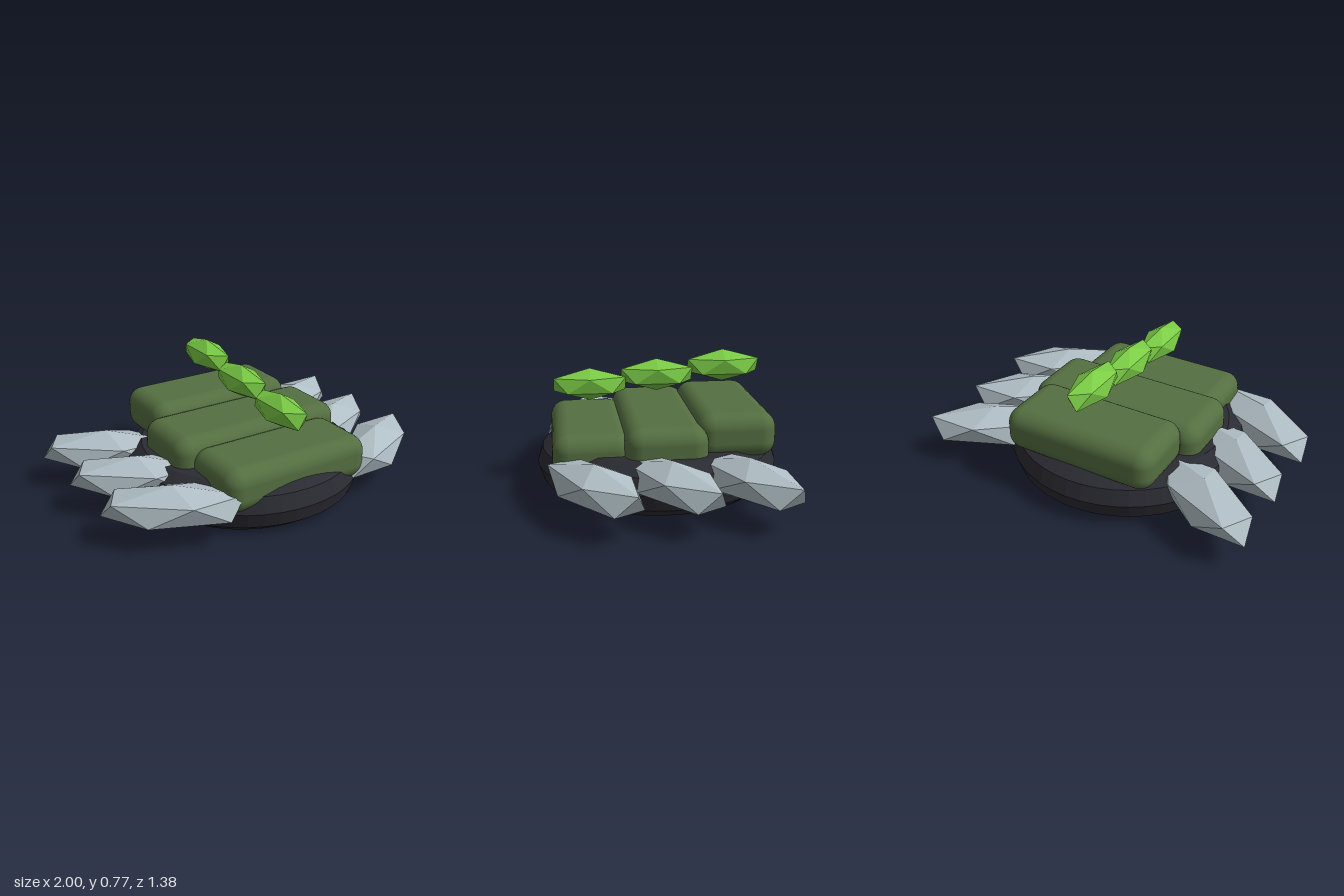
import * as THREE from 'three';
import { RoundedBoxGeometry } from 'three/addons/geometries/RoundedBoxGeometry.js';

const mat = (name, color, flatShading = false) => {
  const m = new THREE.MeshStandardMaterial({ color, flatShading });
  m.name = name;
  return m;
};

export function createModel() {
  const group = new THREE.Group();
  const rubber = mat('dark rubber', 0x2b2b33, true);
  const olive = mat('olive green', 0x556f41);
  const steel = mat('pale steel', 0xb0bec5, true);
  const lime = mat('bright green', 0x7acb45, true);

  const add = (name, geometry, material, x, y, z) => {
    const mesh = new THREE.Mesh(geometry, material);
    mesh.name = name;
    mesh.position.set(x, y, z);
    group.add(mesh);
    return mesh;
  };

  // Ring base lying flat
  const ring = new THREE.TorusGeometry(0.537, 0.153, 10, 48).rotateX(-Math.PI / 2);
  add('baseRing', ring, rubber, 0, 0.145, 0);

  // Faceted crystal: icosahedron standing on a corner, then stretched
  const crystal = (sx, sy, sz) => new THREE.IcosahedronGeometry(1, 0)
    .rotateZ(-Math.atan(2 / (1 + Math.sqrt(5))))
    .scale(sx, sy, sz);
  const spikeShape = crystal(0.418, 0.12, 0.173);
  const crestShape = crystal(0.1, 0.0925, 0.241);

  // Three body segments, front to back, each a step higher
  const names = ['front', 'middle', 'back'];
  names.forEach((name, i) => {
    const k = 1 - i;
    const width = k === 0 ? 1.07 : 0.91;
    const body = new RoundedBoxGeometry(width, 0.25, k === 0 ? 0.45 : 0.435, 4, 0.09);
    add(name + 'Segment', body, olive, 0, 0.322 - 0.048 * k, 0.39 * k);
    // Floating crest crystal
    add(name + 'Crest', crestShape, lime, 0, 0.631 - 0.046 * k, 0.383 * k);
    // Side spikes swept backwards
    for (const side of [1, -1]) {
      const spike = add(name + (side > 0 ? 'LeftSpike' : 'RightSpike'), spikeShape, steel,
        side * 0.68, 0.214, 0.4 * k);
      spike.rotation.y = side * 0.54;
    }
  });

  return group;
}
